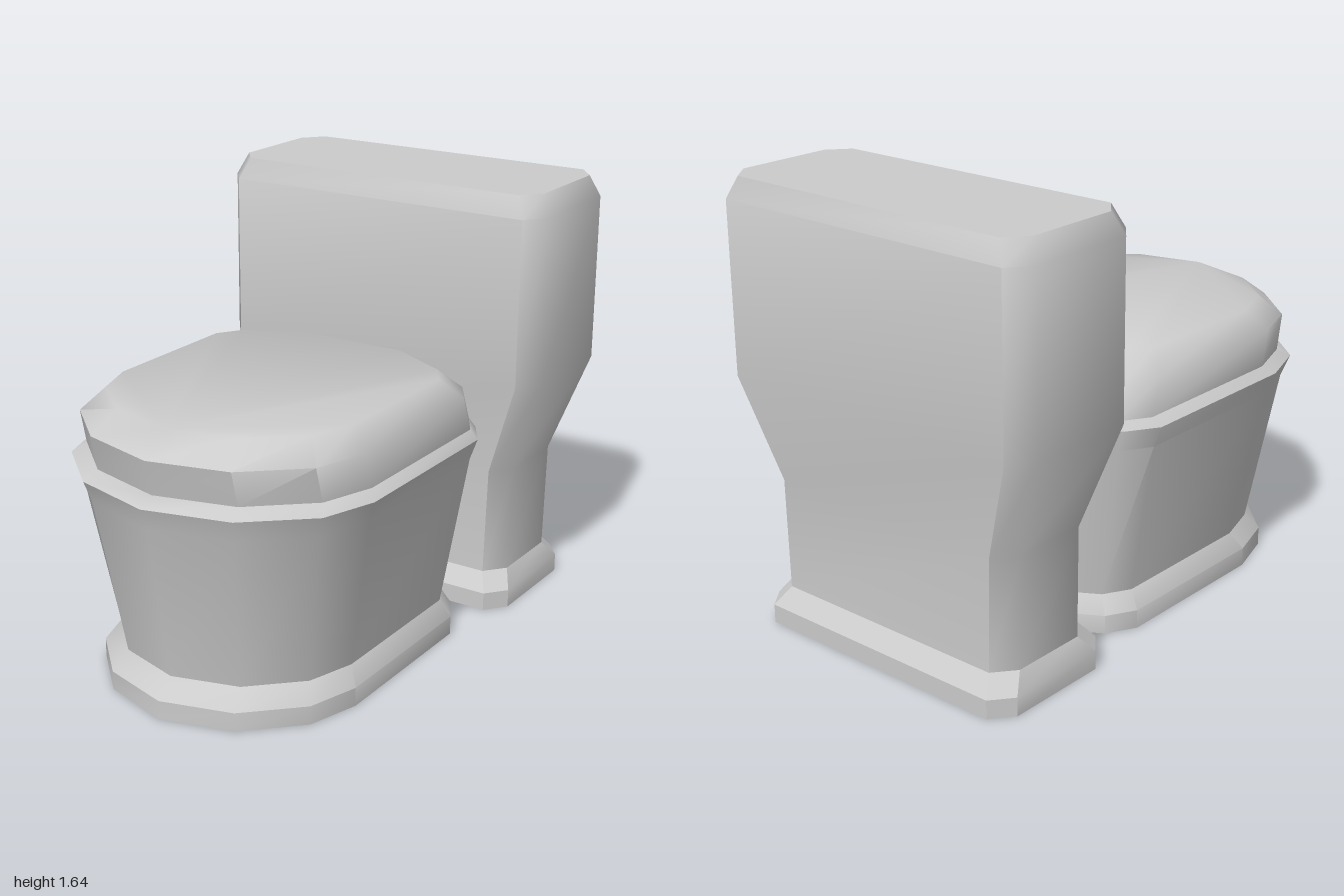
import * as THREE from 'three';
import { toCreasedNormals } from 'three/addons/utils/BufferGeometryUtils.js';

// Joins rings of [x, y, z] points (bottom to top) into a capped solid
function loft(name, rings, crease) {
  const n = rings[0].length;
  const index = [];
  for (let r = 0; r < rings.length - 1; r++) {
    for (let j = 0; j < n; j++) {
      const a = r * n + j, b = r * n + (j + 1) % n;
      index.push(a, b, b + n, a, b + n, a + n);
    }
  }
  const top = (rings.length - 1) * n;
  for (let j = 1; j < n - 1; j++) {
    index.push(0, j + 1, j, top, top + j, top + j + 1);
  }
  const geometry = new THREE.BufferGeometry();
  geometry.setAttribute('position', new THREE.Float32BufferAttribute(rings.flat(2), 3));
  geometry.setIndex(index);
  const mesh = new THREE.Mesh(
    toCreasedNormals(geometry.toNonIndexed(), crease),
    new THREE.MeshStandardMaterial({ color: 0xcccccc })
  );
  mesh.name = name;
  return mesh;
}

// Rectangle with cut corners, used for the tank
function tankRing([y, hx, front, back]) {
  const cx = 0.065, cz = 0.08;
  return [
    [-hx + cx, y, front], [hx - cx, y, front],
    [hx, y, front - cz], [hx, y, back + cz],
    [hx - cx, y, back], [-hx + cx, y, back],
    [-hx, y, back + cz], [-hx, y, front - cz],
  ];
}

// Right half of the bowl outline from front to back: x as a share of the
// half width, z as a share of the length measured from the back
const half = [[0.52, 0.944], [0.885, 0.81], [1, 0.667], [1, 0.18], [0.88, 0.1], [0.42, 0]];
const outline = [[0, 1], ...half, ...half.map(([x, z]) => [-x, z]).reverse()];

function bowlRing([y, hx, front, back]) {
  return outline.map(([x, z]) => [x * hx, y, back + z * (front - back)]);
}

export function createModel() {
  const group = new THREE.Group();
  group.name = 'toilet';
  const smooth = 0.84, firm = 0.56;

  // Each row: height, half width, front z, back z
  group.add(loft('tankBase', [
    [0, 0.582, -0.42, -0.985],
    [0.07, 0.582, -0.42, -0.985],
    [0.135, 0.545, -0.475, -0.93],
  ].map(tankRing), firm));

  group.add(loft('tank', [
    [0.135, 0.545, -0.475, -0.93],
    [0.55, 0.553, -0.48, -0.93],
    [0.93, 0.685, -0.413, -1],
    [1.56, 0.685, -0.413, -1],
    [1.64, 0.65, -0.445, -0.972],
  ].map(tankRing), smooth));

  group.add(loft('bowlBase', [
    [0, 0.51, 0.94, -0.42],
    [0.07, 0.51, 0.94, -0.42],
    [0.135, 0.47, 0.87, -0.385],
  ].map(bowlRing), firm));

  group.add(loft('bowl', [
    [0.135, 0.47, 0.87, -0.385],
    [0.72, 0.57, 0.972, -0.427],
    [0.8, 0.6, 1, -0.432],
    [0.83, 0.565, 0.94, -0.427],
  ].map(bowlRing), firm));

  group.add(loft('lid', [
    [0.83, 0.565, 0.94, -0.427],
    [0.96, 0.56, 0.97, -0.378],
    [1.037, 0.49, 0.86, -0.28],
  ].map(bowlRing), 1.05));

  return group;
}
